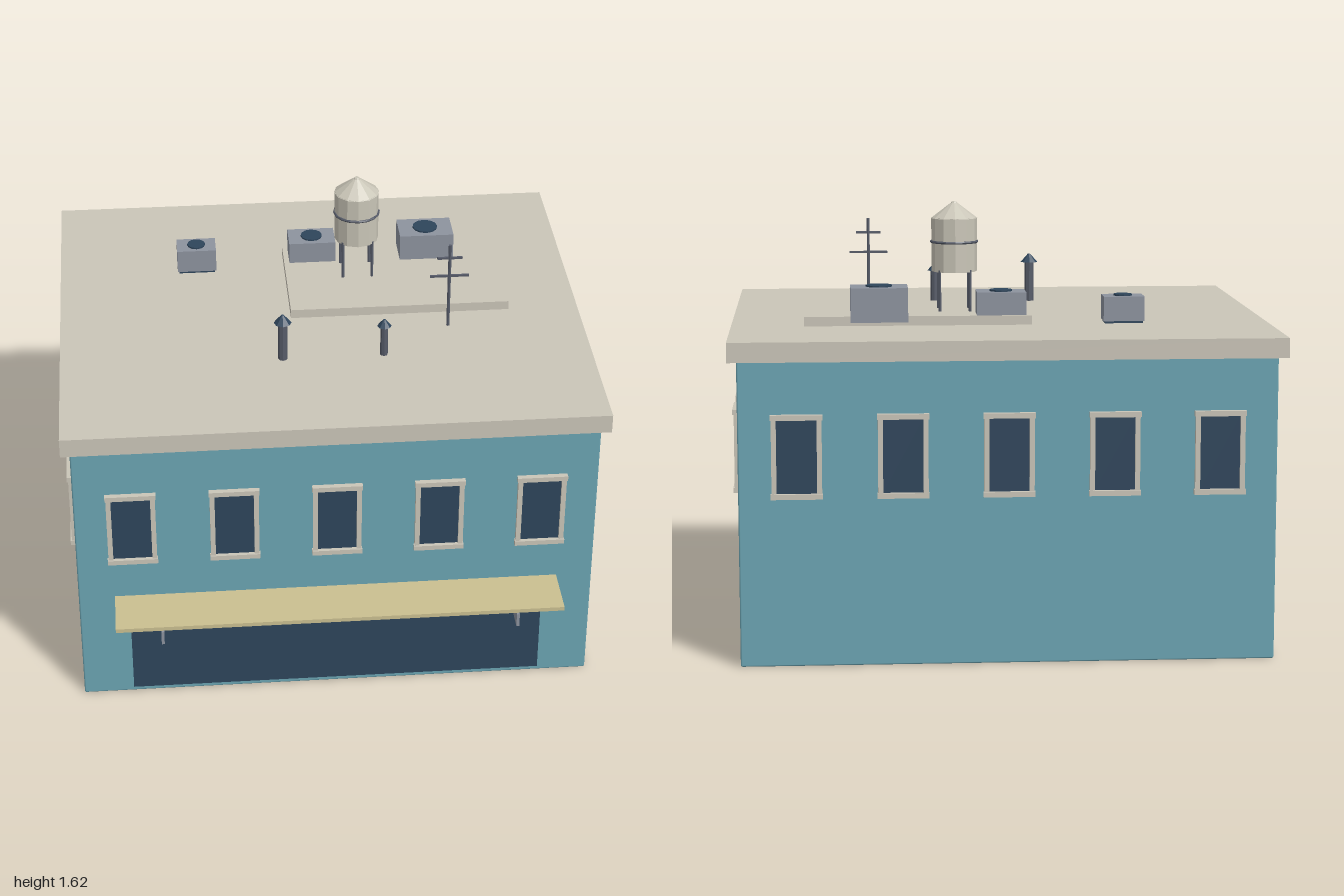
import * as THREE from 'three';
import { RoundedBoxGeometry } from 'three/addons/geometries/RoundedBoxGeometry.js';

const mat = (name, color, flatShading = false) => {
  const m = new THREE.MeshStandardMaterial({ color, flatShading });
  m.name = name;
  return m;
};

export function createModel() {
  const wall = mat('teal wall', 0x6ba4b2);
  const stone = mat('pale stone', 0xcac5b8);
  const navy = mat('dark navy', 0x2e455b, true);
  const canvas = mat('awning tan', 0xcabf90);
  const grey = mat('unit grey', 0x8d939e);
  const metal = mat('dark metal', 0x565b68, true);
  const tankSkin = mat('tank stone', 0xc9c5b7, true);

  const model = new THREE.Group();
  model.name = 'building';

  const add = (parent, name, geometry, material, x, y, z) => {
    const mesh = new THREE.Mesh(geometry, material);
    mesh.name = name;
    mesh.position.set(x, y, z);
    parent.add(mesh);
    return mesh;
  };
  const box = (parent, name, material, w, h, d, x, y, z) =>
    add(parent, name, new THREE.BoxGeometry(w, h, d), material, x, y, z);
  // upright cylinder or cone given by its bottom and top heights
  const post = (parent, name, material, rBottom, rTop, y0, y1, x, z, sides) =>
    add(parent, name, new THREE.CylinderGeometry(rTop, rBottom, y1 - y0, sides), material, x, (y0 + y1) / 2, z);
  const group = (name) => {
    const g = new THREE.Group();
    g.name = name;
    model.add(g);
    return g;
  };

  // Walls and roof slab
  const midZ = -0.0875, halfX = 0.967, halfZ = 0.8325;
  add(model, 'walls', new RoundedBoxGeometry(halfX * 2, 1.12, halfZ * 2, 1, 0.006), wall, 0, 0.56, midZ);
  box(model, 'roofSlab', stone, 2, 0.072, 1.72, 0, 1.144, -0.09);

  // Framed windows, five on each side
  const makeWindow = (x, z, angle) => {
    const g = group('window');
    box(g, 'glass', navy, 0.15, 0.28, 0.008, 0, 0, 0.002);
    for (const s of [-1, 1]) {
      box(g, 'jamb', stone, 0.018, 0.268, 0.016, s * 0.081, 0, 0.008);
      box(g, s > 0 ? 'lintel' : 'sill', stone, 0.186, 0.019, 0.021, 0, s * 0.1425, 0.0105);
    }
    g.position.set(x, 0.766, z);
    g.rotation.y = angle;
  };
  for (let i = -2; i <= 2; i++) {
    makeWindow(i * 0.379, midZ + halfZ, 0);
    makeWindow(i * 0.379, midZ - halfZ, Math.PI);
    makeWindow(halfX, midZ + i * 0.31, Math.PI / 2);
    makeWindow(-halfX, midZ + i * 0.31, -Math.PI / 2);
  }

  // Shop front with awning and brackets
  box(model, 'shopFront', navy, 1.556, 0.375, 0.02, 0, 0.2125, 0.746);
  box(model, 'awning', canvas, 1.664, 0.016, 0.205, 0, 0.447, 0.8445);
  for (const s of [-1, 1]) box(model, 'awningBracket', grey, 0.011, 0.056, 0.202, s * 0.66, 0.404, 0.846);

  // Raised roof platform
  box(model, 'roofPlatform', stone, 0.845, 0.036, 0.495, 0.3085, 1.197, -0.2575);

  // Cooling units, all the same shape at different scales
  for (const [x, w] of [[-0.46, 0.153], [-0.002, 0.183], [0.452, 0.213]]) {
    const g = group('coolingUnit');
    const h = w * 0.6, base = w * 0.065, d = w * 0.66;
    box(g, 'base', navy, w * 0.93, base, d * 0.93, 0, base / 2, 0);
    box(g, 'housing', grey, w, h, d, 0, base + h / 2 - 0.002, 0);
    post(g, 'fan', navy, w * 0.23, w * 0.23, base + h - 0.004, base + h + 0.004, 0, 0, 12);
    g.position.set(x, 1.18, -0.437);
  }

  // Water tank on four legs
  const tank = group('waterTank');
  tank.position.set(0.165, 0, -0.306);
  for (const sx of [-1, 1]) for (const sz of [-1, 1])
    post(tank, 'leg', metal, 0.006, 0.006, 1.18, 1.37, sx * 0.057, sz * 0.057, 6);
  post(tank, 'barrel', tankSkin, 0.086, 0.086, 1.362, 1.564, 0, 0, 12);
  post(tank, 'lid', tankSkin, 0.088, 0.014, 1.562, 1.618, 0, 0, 12);
  post(tank, 'finial', tankSkin, 0.014, 0.009, 1.616, 1.624, 0, 0, 8);
  const hoop = add(tank, 'hoop', new THREE.TorusGeometry(0.086, 0.0055, 6, 16), metal, 0, 1.474, 0);
  hoop.rotation.x = Math.PI / 2;

  // Vent pipes with conical caps
  for (const [x, r, top] of [[-0.165, 0.018, 1.338], [0.216, 0.0145, 1.306]]) {
    const g = group('ventPipe');
    post(g, 'pipe', metal, r, r, 1.175, top, x, 0.28, 8);
    post(g, 'cap', navy, r * 1.85, 0.004, top - 0.002, top + r * 1.75, x, 0.28, 8);
  }

  // Antenna mast with two crossbars
  const antenna = group('antenna');
  post(antenna, 'mast', metal, 0.0065, 0.0065, 1.175, 1.53, 0.482, 0.09, 6);
  box(antenna, 'lowerBar', metal, 0.148, 0.008, 0.008, 0.482, 1.398, 0.09);
  box(antenna, 'upperBar', metal, 0.096, 0.008, 0.008, 0.482, 1.475, 0.09);

  return model;
}
